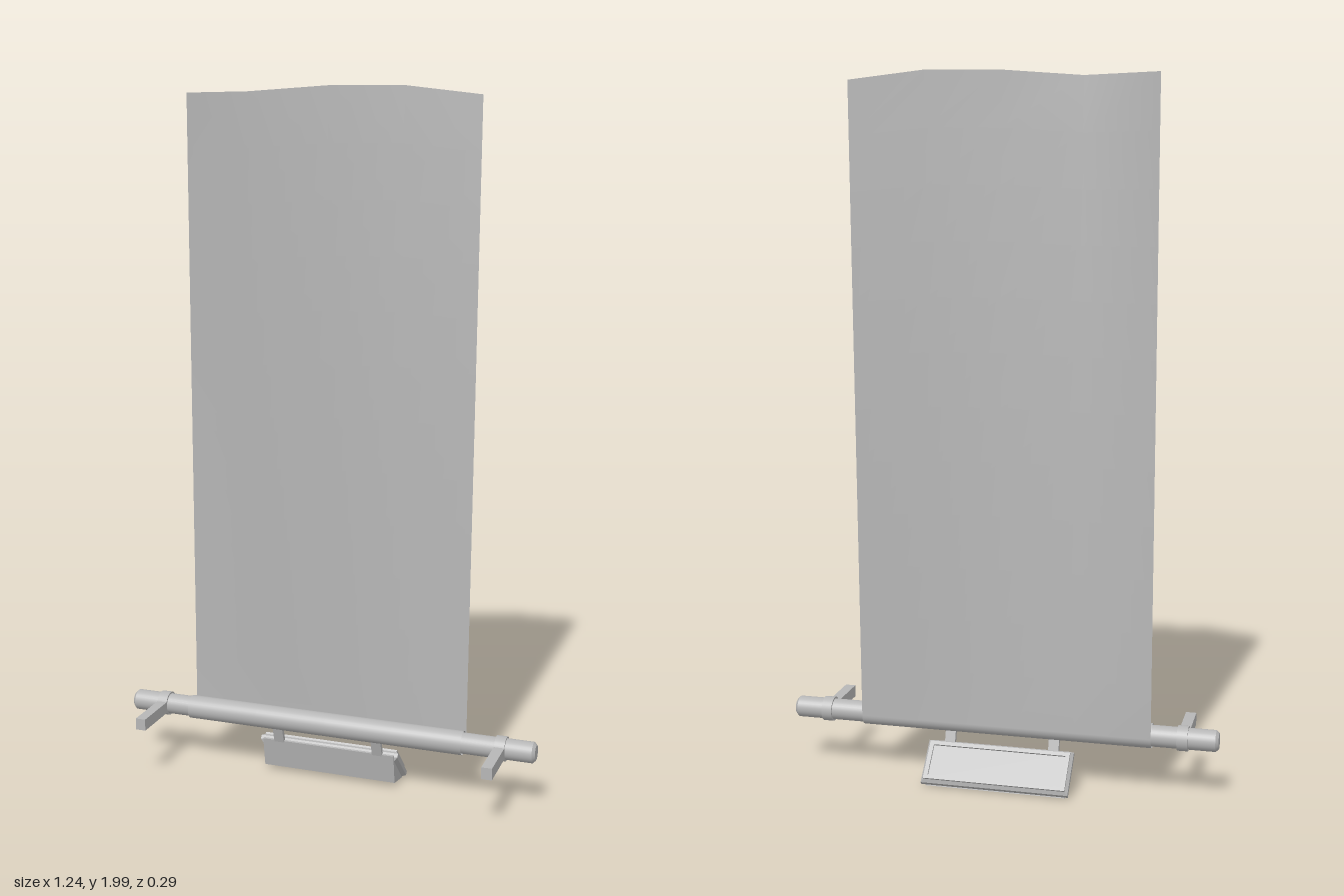
import * as THREE from 'three';

const grey = new THREE.MeshStandardMaterial({ color: 0xb6b6b6 });
grey.name = 'grey';
const sheetGrey = grey.clone();
sheetGrey.name = 'sheet grey';
sheetGrey.side = THREE.DoubleSide;

const POLE_Y = 0.18, POLE_Z = -0.033;

function add(parent, name, geometry, x = 0, y = 0, z = 0, material = grey) {
  const mesh = new THREE.Mesh(geometry, material);
  mesh.name = name;
  mesh.position.set(x, y, z);
  parent.add(mesh);
  return mesh;
}

// Horizontal rod with chamfered ends
function rodGeometry(radius, length, chamfer) {
  const h = length / 2;
  const profile = [[0, -h], [radius - chamfer, -h], [radius, -h + chamfer],
    [radius, h - chamfer], [radius - chamfer, h], [0, h]];
  // Separate bands keep the chamfer edges crisp
  const bands = new THREE.Group();
  for (let i = 0; i < profile.length - 1; i++) {
    const points = [profile[i], profile[i + 1]].map(p => new THREE.Vector2(...p));
    add(bands, 'rodBand', new THREE.LatheGeometry(points, 32));
  }
  bands.rotation.z = Math.PI / 2;
  return bands;
}

function rectangle(path, w, h) {
  path.moveTo(-w / 2, -h / 2);
  path.lineTo(w / 2, -h / 2);
  path.lineTo(w / 2, h / 2);
  path.lineTo(-w / 2, h / 2);
  path.closePath();
  return path;
}

// Sheet wound once round the pole, then rising to a wavy top edge
function sheetGeometry() {
  const xs = [-0.433, -0.215, 0, 0.2, 0.408];
  const topY = [1.985, 1.985, 2, 2, 1.975];
  const topZ = [-0.07, 0.012, -0.03, -0.083, -0.11];
  const wrap = 32, rise = 12;
  const geometry = new THREE.PlaneGeometry(1, 1, 4, wrap + rise);
  const pos = geometry.attributes.position;
  for (let j = 0; j <= wrap + rise; j++) {
    for (let i = 0; i < 5; i++) {
      const t = Math.min(j / wrap, 1);
      const angle = Math.PI * (1 - 2 * t);
      const radius = 0.0335 + 0.0015 * t;
      const k = Math.max(0, (j - wrap) / rise);
      const y = POLE_Y + radius * Math.sin(angle);
      const z = POLE_Z + radius * Math.cos(angle);
      pos.setXYZ(j * 5 + i, xs[i],
        THREE.MathUtils.lerp(y, topY[i], k), THREE.MathUtils.lerp(z, topZ[i], k));
    }
  }
  geometry.computeVertexNormals();
  return geometry;
}

// Tilted case: bevelled slab with a rimmed panel, and a wedge on its underside
function buildCase() {
  const box = new THREE.Group();
  box.name = 'hangingCase';

  const slab = new THREE.Group();
  slab.name = 'caseSlab';
  slab.position.set(0, 0.066, -0.088);
  slab.rotation.x = -Math.PI * 3 / 4;
  box.add(slab);

  const bevel = 0.008;
  const body = new THREE.ExtrudeGeometry(rectangle(new THREE.Shape(), 0.409, 0.115), {
    depth: 0.012, bevelEnabled: true, bevelThickness: bevel, bevelSize: bevel, bevelSegments: 1 });
  add(slab, 'slabBody', body, 0, 0, -0.009);

  const rim = rectangle(new THREE.Shape(), 0.409, 0.115);
  rim.holes.push(rectangle(new THREE.Path(), 0.385, 0.093));
  add(slab, 'slabRim', new THREE.ExtrudeGeometry(rim, { depth: 0.006, bevelEnabled: false }), 0, 0, 0.011);

  const wedge = new THREE.Shape();
  wedge.moveTo(-0.03, 0.11);
  wedge.lineTo(-0.045, 0.022);
  wedge.lineTo(-0.122, 0.008);
  wedge.lineTo(-0.11, 0.045);
  wedge.lineTo(-0.05, 0.11);
  wedge.closePath();
  const wedgeGeometry = new THREE.ExtrudeGeometry(wedge, { depth: 0.405, bevelEnabled: false });
  wedgeGeometry.translate(0, 0, -0.2025);
  wedgeGeometry.rotateY(-Math.PI / 2);
  add(box, 'caseWedge', wedgeGeometry);
  return box;
}

export function createModel() {
  const model = new THREE.Group();
  model.name = 'hangingSheet';

  const pole = rodGeometry(0.03, 1.237, 0.008);
  pole.name = 'pole';
  pole.position.set(0, POLE_Y, POLE_Z);
  model.add(pole);

  add(model, 'sheet', sheetGeometry(), 0, 0, 0, sheetGrey);
  model.add(buildCase());

  for (const side of [-1, 1]) {
    // Collar and forward arm near each pole end
    const collar = add(model, 'collar', new THREE.CylinderGeometry(0.035, 0.035, 0.03, 32),
      side * 0.519, POLE_Y, POLE_Z);
    collar.rotation.z = Math.PI / 2;
    add(model, 'arm', new THREE.BoxGeometry(0.03, 0.034, 0.155), side * 0.519, 0.177, 0.0675);

    // Strap holding the case under the pole
    const strap = add(model, 'strap', new THREE.BoxGeometry(0.03, 0.06, 0.012),
      side * 0.152, 0.128, -0.03);
    strap.rotation.x = 0.3;
  }
  return model;
}
